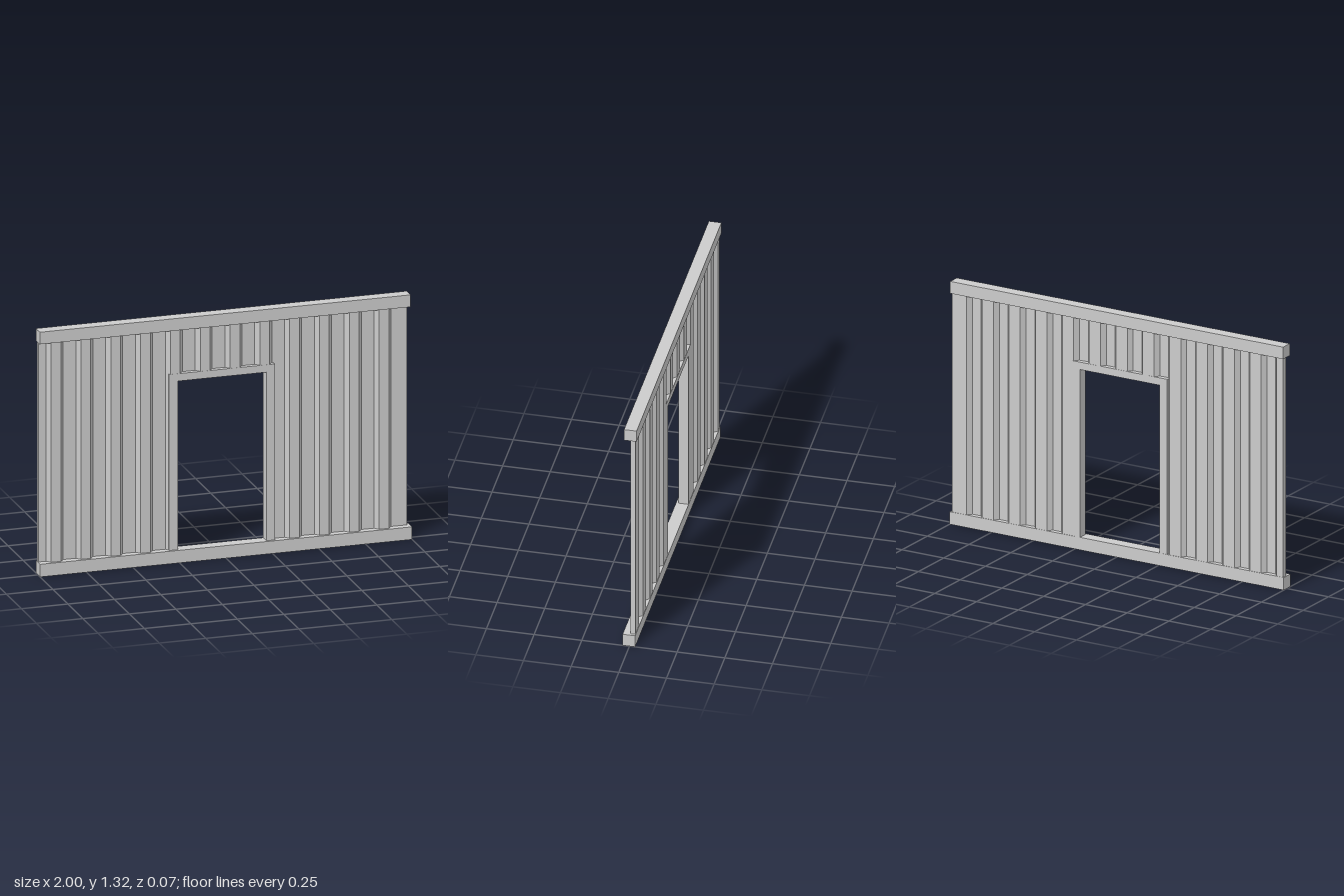
import * as THREE from 'three';

const material = new THREE.MeshStandardMaterial({ color: 0xcccccc, flatShading: true });

// Corrugation: the sheet steps forward, then back, once per pitch
const PITCH = 0.1603, RIBS = 12, SLOPE = 0.01;
const FRONT = 0.022, MID = -0.003, THICKNESS = 0.025;
const waveform = [[-0.996, MID]];
for (let i = 0; i < RIBS; i++) {
  const rise = -0.946 + i * PITCH, fall = -0.874 + i * PITCH;
  waveform.push([rise - SLOPE, MID], [rise + SLOPE, FRONT], [fall - SLOPE, FRONT], [fall + SLOPE, MID]);
}
waveform.push([0.986, MID]);

// Depth of the sheet's front face at any x
function depthAt(x) {
  for (let i = 1; i < waveform.length; i++) {
    const [x0, z0] = waveform[i - 1], [x1, z1] = waveform[i];
    if (x <= x1) return z0 + (z1 - z0) * Math.max(0, (x - x0) / (x1 - x0));
  }
  return MID;
}

// Upright corrugated sheet between two x and two y values
function sheet(name, x0, x1, y0, y1) {
  const line = [
    [x0, depthAt(x0)],
    ...waveform.filter(([x]) => x > x0 && x < x1),
    [x1, depthAt(x1)],
  ];
  const front = line.map(([x, z]) => new THREE.Vector2(x, -z));
  const back = line.map(([x, z]) => new THREE.Vector2(x, -z + THICKNESS)).reverse();
  const geometry = new THREE.ExtrudeGeometry(new THREE.Shape([...front, ...back]), {
    depth: y1 - y0, bevelEnabled: false,
  });
  geometry.rotateX(-Math.PI / 2).translate(0, y0, 0);
  const mesh = new THREE.Mesh(geometry, material);
  mesh.name = name;
  return mesh;
}

// Box given by its limits on each axis
function beam(name, [x0, x1], [y0, y1], [z0, z1]) {
  const mesh = new THREE.Mesh(new THREE.BoxGeometry(x1 - x0, y1 - y0, z1 - z0), material);
  mesh.position.set((x0 + x1) / 2, (y0 + y1) / 2, (z0 + z1) / 2);
  mesh.name = name;
  return mesh;
}

export function createModel() {
  const wall = new THREE.Group();
  wall.name = 'corrugatedWallWithDoorway';

  // Rails along the floor and the top
  wall.add(
    beam('bottomRail', [-1, 1], [0, 0.068], [-0.03, 0.036]),
    beam('topRail', [-1, 0.993], [1.252, 1.317], [-0.036, 0.03]),
  );

  // Corrugated sheets beside and above the doorway
  wall.add(
    sheet('rightPanel', -0.996, -0.275, 0.06, 1.26),
    sheet('panelOverDoor', -0.275, 0.236, 1.0, 1.26),
    sheet('leftPanel', 0.236, 0.986, 0.06, 1.26),
  );

  // Door frame
  const frame = new THREE.Group();
  frame.name = 'doorFrame';
  const depth = [-0.029, 0.023];
  frame.add(
    beam('rightJamb', [-0.302, -0.256], [0.06, 1.016], depth),
    beam('leftJamb', [0.22, 0.266], [0.06, 1.016], depth),
    beam('header', [-0.256, 0.22], [0.976, 1.016], depth),
  );
  wall.add(frame);

  return wall;
}
